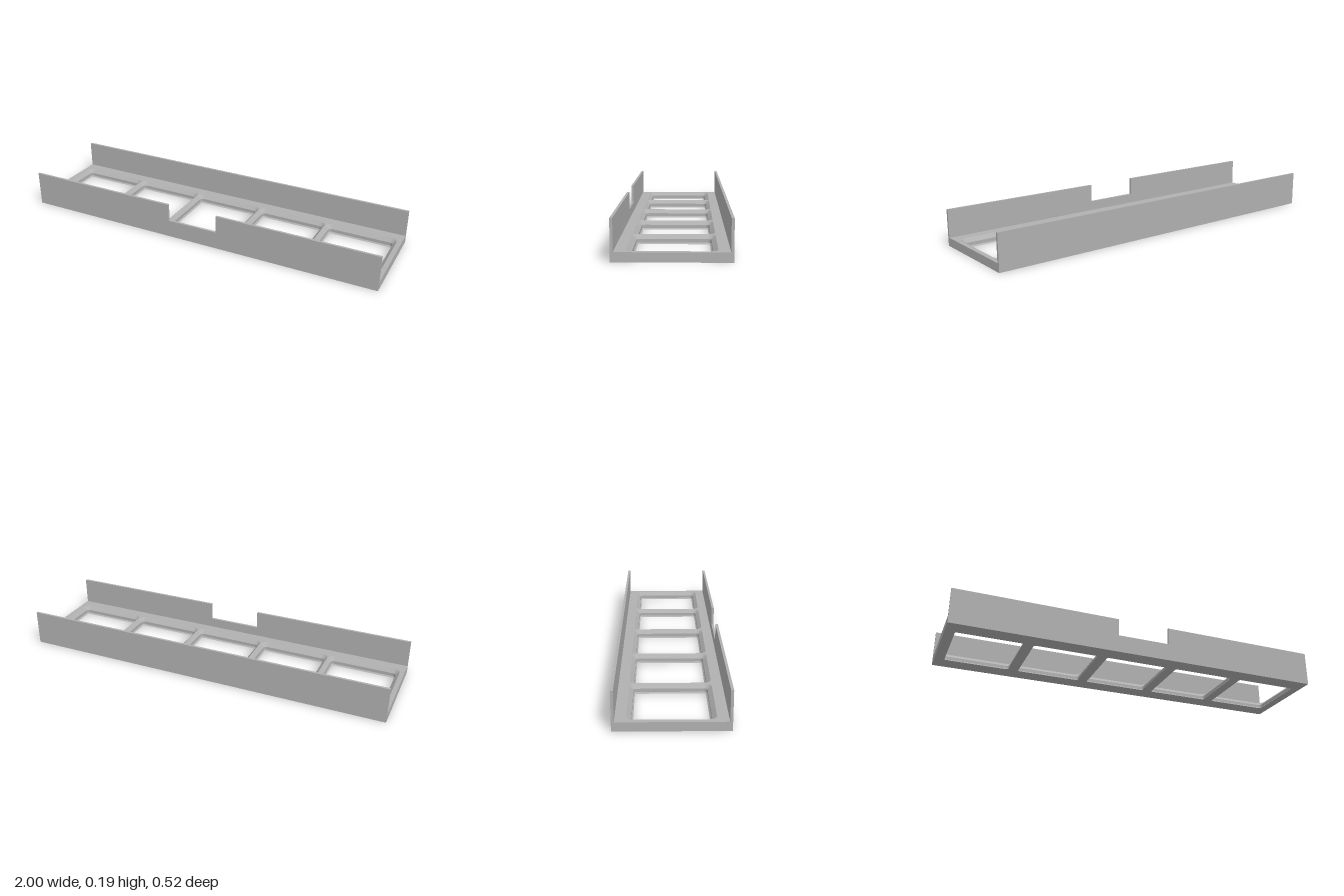
import * as THREE from 'three';
import { toCreasedNormals } from 'three/addons/utils/BufferGeometryUtils.js';

const LENGTH = 2, DEPTH = 0.516, HEIGHT = 0.187, FLOOR = 0.0432, WALL = 0.0125;
const PITCH = 0.3907, CELLS = 5;

// Pocket profile from bottom to top: height, opening size, corner radius
const PROFILE = [
  [0, 0.3365, 0.0107],
  [0.0065, 0.3495, 0.0172],
  [0.0232, 0.3495, 0.0172],
  [FLOOR, 0.3885, 0.0365],
];

// Counter-clockwise rounded square
function roundedSquare(size, radius, cx = 0, steps = 6) {
  const points = [];
  const c = size / 2 - radius;
  for (let k = 0; k < 4; k++) {
    const sx = k === 0 || k === 3 ? 1 : -1;
    const sy = k < 2 ? 1 : -1;
    for (let i = 0; i <= steps; i++) {
      const a = (k + i / steps) * Math.PI / 2;
      points.push(new THREE.Vector2(cx + sx * c + radius * Math.cos(a), sy * c + radius * Math.sin(a)));
    }
  }
  return points;
}

function rectangle(w, h) {
  return new THREE.Shape([[-1, -1], [1, -1], [1, 1], [-1, 1]].map(([x, y]) => new THREE.Vector2(x * w / 2, y * h / 2)));
}

const cellX = (i) => (i - (CELLS - 1) / 2) * PITCH;

// Flat sheet pierced by one opening per cell
function piercedSheet(depth, size, radius) {
  const shape = rectangle(LENGTH, depth);
  for (let i = 0; i < CELLS; i++) shape.holes.push(new THREE.Path(roundedSquare(size, radius, cellX(i)).reverse()));
  return new THREE.ShapeGeometry(shape);
}

// Chamfered pocket lining, facing into the opening
function pocketGeometry() {
  const positions = [], index = [];
  const rings = PROFILE.map(([, size, radius]) => roundedSquare(size, radius));
  const n = rings[0].length;
  rings.forEach((ring, r) => ring.forEach((p) => positions.push(p.x, PROFILE[r][0], -p.y)));
  for (let r = 0; r < rings.length - 1; r++) {
    for (let i = 0; i < n; i++) {
      const a = r * n + i, b = r * n + (i + 1) % n;
      index.push(a, a + n, b, b, a + n, b + n);
    }
  }
  const g = new THREE.BufferGeometry();
  g.setAttribute('position', new THREE.Float32BufferAttribute(positions, 3));
  g.setIndex(index);
  return toCreasedNormals(g, 0.5);
}

export function createModel() {
  const model = new THREE.Group();
  model.name = 'gridTray';
  const grey = new THREE.MeshStandardMaterial({ color: 0xb0b0b0 });
  grey.name = 'grey';
  const add = (name, geometry) => {
    const mesh = new THREE.Mesh(geometry, grey);
    mesh.name = name;
    model.add(mesh);
    return mesh;
  };

  // Floor faces
  const [, bottomSize, bottomRadius] = PROFILE[0];
  const [, topSize, topRadius] = PROFILE[PROFILE.length - 1];
  add('floorTop', piercedSheet(DEPTH - 2 * WALL, topSize, topRadius).rotateX(-Math.PI / 2)).position.y = FLOOR;
  add('floorUnderside', piercedSheet(DEPTH - 2 * WALL, bottomSize, bottomRadius).rotateX(Math.PI / 2));

  // Floor ends
  for (const side of [1, -1]) {
    const end = new THREE.PlaneGeometry(DEPTH - 2 * WALL, FLOOR).rotateY(side * Math.PI / 2);
    add(side > 0 ? 'leftFloorEnd' : 'rightFloorEnd', end).position.set(side * LENGTH / 2, FLOOR / 2, 0);
  }

  // Pocket linings
  const pocket = pocketGeometry();
  for (let i = 0; i < CELLS; i++) add('pocket' + (i + 1), pocket).position.x = cellX(i);

  // Back wall
  const back = add('backWall', new THREE.BoxGeometry(LENGTH, HEIGHT, WALL));
  back.position.set(0, HEIGHT / 2, -DEPTH / 2 + WALL / 2);

  // Front wall with a finger notch
  const notch = 0.141, notchY = 0.0935;
  const outline = new THREE.Shape([
    [-1, 0], [1, 0], [1, HEIGHT], [notch, HEIGHT], [notch, notchY],
    [-notch, notchY], [-notch, HEIGHT], [-1, HEIGHT],
  ].map(([x, y]) => new THREE.Vector2(x, y)));
  const front = add('frontWall', new THREE.ExtrudeGeometry(outline, { depth: WALL, bevelEnabled: false }));
  front.position.z = DEPTH / 2 - WALL;

  return model;
}
